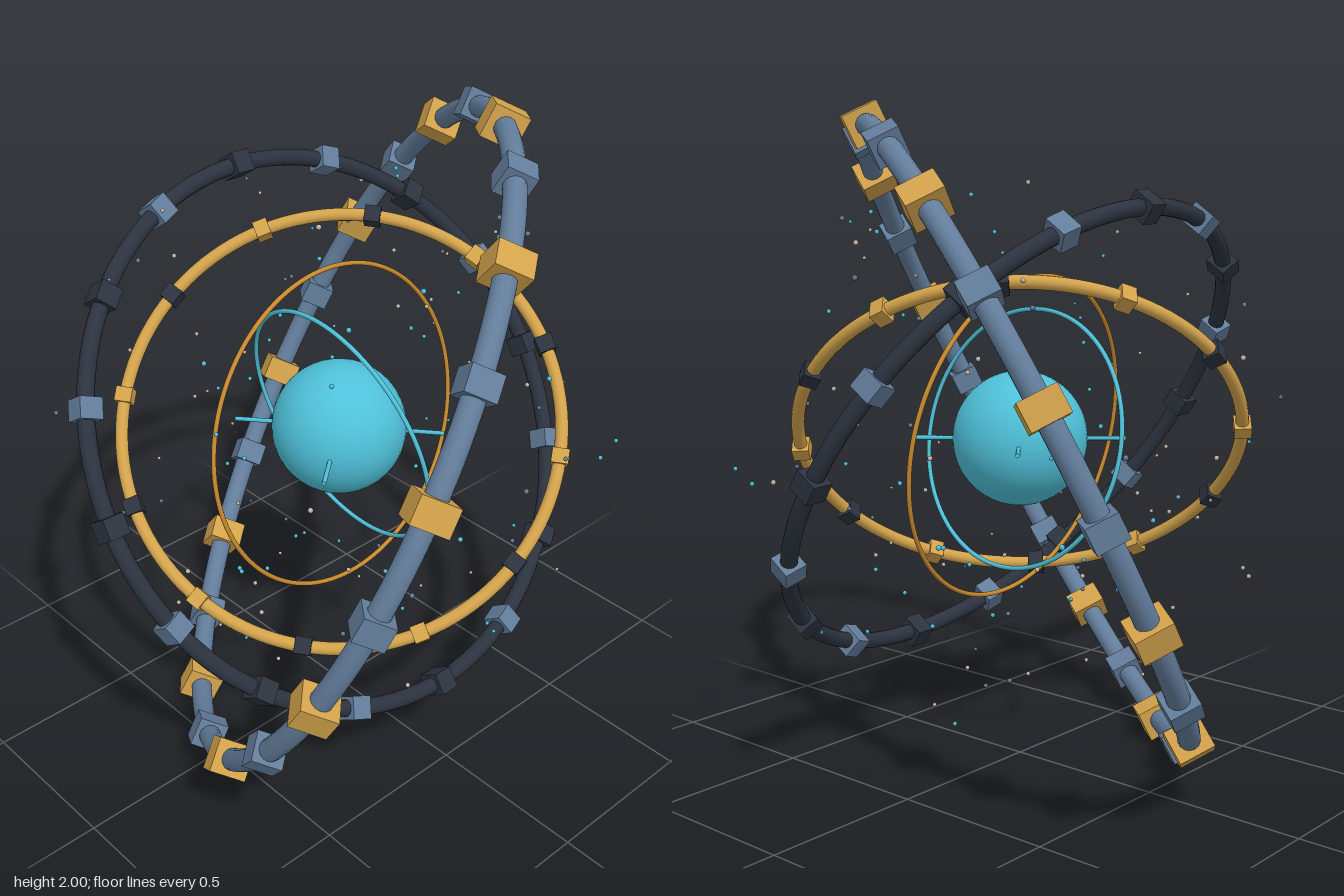
import * as THREE from 'three';
import { mergeGeometries } from 'three/addons/utils/BufferGeometryUtils.js';

const mat = (name, color) => {
  const m = new THREE.MeshStandardMaterial({ color });
  m.name = name;
  return m;
};

export function createModel() {
  const model = new THREE.Group();
  model.name = 'orbitalSphere';
  const steel = mat('steelBlue', 0x637d9b);
  const dark = mat('darkSlate', 0x2c333f);
  const gold = mat('gold', 0xd3a34c);
  const orange = mat('amber', 0xc98a2e);
  const teal = mat('teal', 0x4fc1d9);
  const pale = mat('paleDust', 0xc9b5a5);

  const core = new THREE.Group();
  core.name = 'core';
  core.position.y = 1;
  model.add(core);

  const add = (parent, name, geo, material) => {
    const mesh = new THREE.Mesh(geo, material);
    mesh.name = name;
    parent.add(mesh);
    return mesh;
  };

  // Ring in the plane of directions a and b, its first block lying along a
  function ring(name, a, b, radius, tube, material) {
    const x = new THREE.Vector3(...a).normalize();
    const z = x.clone().cross(new THREE.Vector3(...b)).normalize();
    const y = z.clone().cross(x);
    const g = new THREE.Group();
    g.name = name;
    g.quaternion.setFromRotationMatrix(new THREE.Matrix4().makeBasis(x, y, z));
    add(g, name + 'Band', new THREE.TorusGeometry(radius, tube, 14, 120), material);
    core.add(g);
    return g;
  }

  // Blocks alternating between two styles: [material, radial, tangential, axial]
  function blocks(g, count, radius, styles) {
    for (let i = 0; i < count; i++) {
      const [material, ...size] = styles[i % 2];
      const t = (i / count) * Math.PI * 2;
      const block = add(g, g.name + 'Block', new THREE.BoxGeometry(...size), material);
      block.position.set(radius * Math.cos(t), radius * Math.sin(t), 0);
      block.rotation.z = t;
    }
  }

  // Central sphere with four short rods
  add(core, 'centralSphere', new THREE.SphereGeometry(0.205, 48, 32), teal);
  for (let i = 0; i < 4; i++) {
    const t = 0.69 + (i * Math.PI) / 2;
    const rod = add(core, 'rod', new THREE.CylinderGeometry(0.007, 0.007, 0.16, 8), teal);
    rod.rotation.set(0, t, Math.PI / 2, 'YXZ');
    rod.position.set(0.24 * Math.cos(t), 0, -0.24 * Math.sin(t));
  }

  // Three block-studded rings
  const outer = ring('outerRing', [0.243, 0.929, -0.394], [0.815, 0.058, 0.64], 1.036, 0.033, steel);
  blocks(outer, 20, 1.036, [[gold, 0.1, 0.08, 0.11], [steel, 0.088, 0.075, 0.092]]);

  const middle = ring('middleRing', [-0.476, 0.7, -0.02], [0, 0.025, 0.84], 0.843, 0.025, dark);
  blocks(middle, 16, 0.843, [[dark, 0.066, 0.062, 0.075], [steel, 0.068, 0.062, 0.075]]);

  const inner = ring('innerRing', [0.334, 0.214, -0.54], [0.482, -0.45, 0.12], 0.67, 0.02, gold);
  blocks(inner, 12, 0.67, [[dark, 0.052, 0.05, 0.056], [gold, 0.052, 0.046, 0.056]]);

  // Two thin wire rings
  ring('amberWireRing', [-0.08, 0.5, 0], [0.025, 0, 0.5], 0.498, 0.007, orange);
  ring('tealWireRing', [0.4, 0, 0.02], [0, 0.39, 0.086], 0.395, 0.007, teal);

  // Scattered dust, merged by colour
  let seed = 7;
  const rand = () => (seed = (seed * 16807) % 2147483647) / 2147483647;
  const dust = [[], [], []];
  for (let i = 0; i < 130; i++) {
    const r = 0.42 + 0.48 * rand();
    const h = 2 * rand() - 1;
    const t = rand() * Math.PI * 2;
    const s = Math.sqrt(1 - h * h);
    const speck = new THREE.SphereGeometry(0.005 + 0.003 * rand(), 8, 6);
    speck.translate(r * s * Math.cos(t), r * h, r * s * Math.sin(t));
    dust[i % 5 < 2 ? 0 : i % 5 < 4 ? 1 : 2].push(speck);
  }
  [teal, pale, steel].forEach((m, i) => add(core, 'dust', mergeGeometries(dust[i]), m));

  return model;
}
